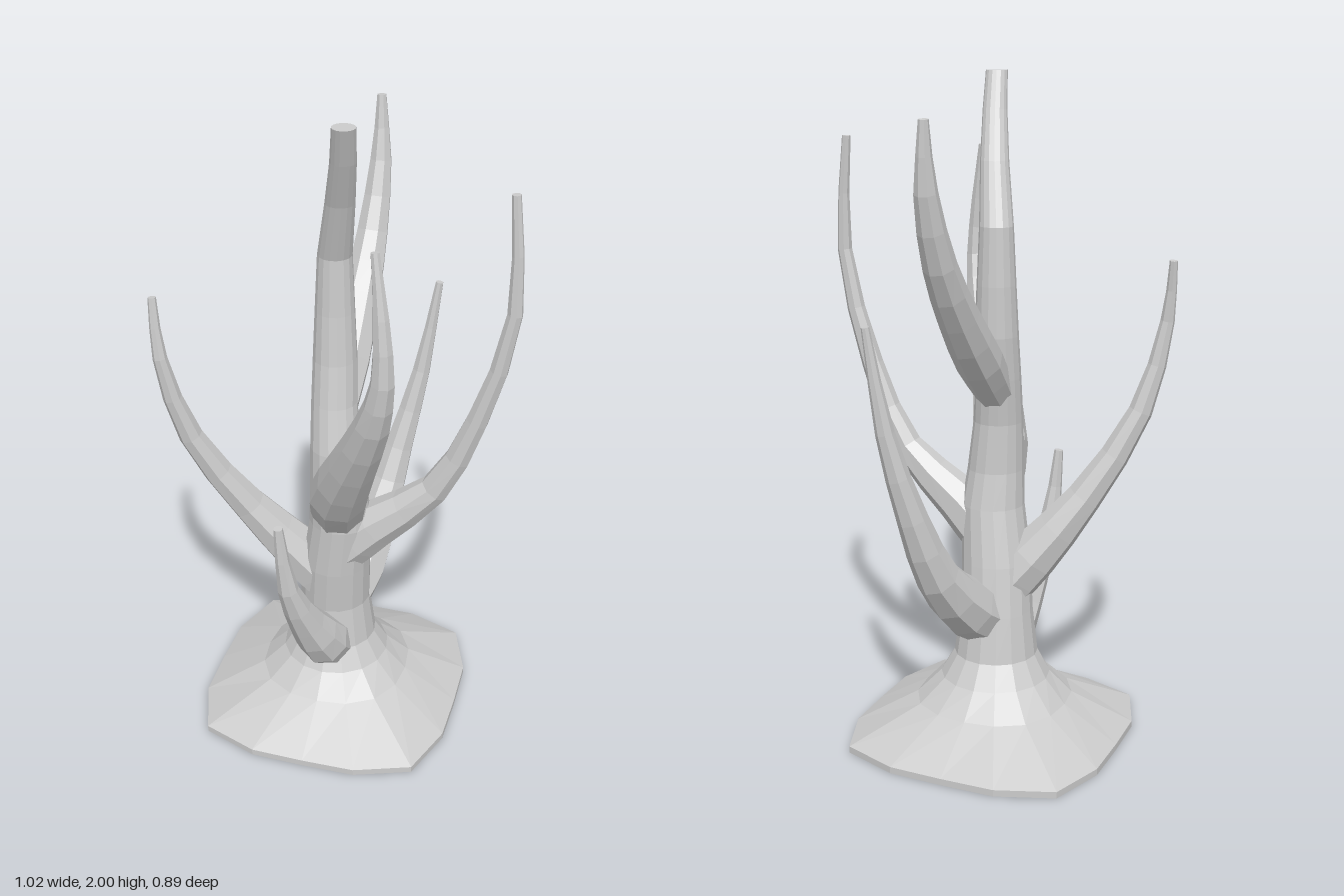
import * as THREE from 'three';

const material = new THREE.MeshStandardMaterial({ color: 0xcccccc, flatShading: true });

// Skin a list of equal-sized rings (counter-clockwise seen from the far end) and cap both ends.
function loft(rings, name) {
  const sides = rings[0].length;
  const positions = [];
  const tri = (a, b, c) => positions.push(...a.toArray(), ...b.toArray(), ...c.toArray());
  const middle = (ring) =>
    ring.reduce((sum, p) => sum.add(p), new THREE.Vector3()).divideScalar(sides);
  const first = rings[0], last = rings[rings.length - 1];
  const start = middle(first), end = middle(last);
  for (let j = 0; j < sides; j++) {
    const k = (j + 1) % sides;
    for (let i = 0; i < rings.length - 1; i++) {
      const low = rings[i], high = rings[i + 1];
      tri(low[j], low[k], high[k]);
      tri(low[j], high[k], high[j]);
    }
    tri(start, first[k], first[j]);
    tri(end, last[j], last[k]);
  }
  const geometry = new THREE.BufferGeometry();
  geometry.setAttribute('position', new THREE.Float32BufferAttribute(positions, 3));
  geometry.computeVertexNormals();
  const mesh = new THREE.Mesh(geometry, material);
  mesh.name = name;
  return mesh;
}

// Level ring; power 2 is a circle, higher powers approach a rounded square.
function levelRing(x, y, z, radius, power) {
  return Array.from({ length: 16 }, (_, j) => {
    const a = (j / 16) * Math.PI * 2;
    const c = Math.cos(a), s = Math.sin(a);
    const r = radius / (Math.abs(c) ** power + Math.abs(s) ** power) ** (1 / power);
    return new THREE.Vector3(x + r * c, y, z - r * s);
  });
}

// Tapering branch swept along a curve through [x, y, z, radius] stations.
function branch(name, stations, sides = 8) {
  const path = new THREE.CatmullRomCurve3(stations.map(([x, y, z]) => new THREE.Vector3(x, y, z)));
  const radii = new THREE.SplineCurve(stations.map((s, i) => new THREE.Vector2(i, s[3])));
  const steps = (stations.length - 1) * 2;
  const normal = new THREE.Vector3(1, 0, 0.3);
  const rings = [];
  for (let i = 0; i <= steps; i++) {
    const t = i / steps;
    const center = path.getPoint(t), tangent = path.getTangent(t);
    const radius = radii.getPoint(t).y;
    normal.addScaledVector(tangent, -normal.dot(tangent)).normalize();
    const binormal = new THREE.Vector3().crossVectors(tangent, normal);
    rings.push(Array.from({ length: sides }, (_, j) => {
      const a = (j / sides) * Math.PI * 2;
      return center.clone()
        .addScaledVector(normal, radius * Math.cos(a))
        .addScaledVector(binormal, radius * Math.sin(a));
    }));
  }
  return loft(rings, name);
}

export function createModel() {
  const group = new THREE.Group();
  group.name = 'branchStand';

  // Squared foot flowing up into the leaning trunk: x, y, z, radius, power
  const trunk = [
    [-0.03, 0, -0.01, 0.4, 3.9],
    [-0.03, 0.02, -0.01, 0.4, 3.9],
    [-0.03, 0.12, -0.01, 0.232, 2.4],
    [-0.03, 0.19, -0.005, 0.168, 2],
    [-0.03, 0.26, 0, 0.128, 2],
    [-0.03, 0.4, 0.005, 0.11, 2],
    [-0.02, 0.55, 0.025, 0.106, 2],
    [0, 0.72, 0.045, 0.096, 2],
    [-0.005, 0.83, 0.055, 0.086, 2],
    [-0.015, 0.98, 0.05, 0.075, 2],
    [-0.025, 1.12, 0.025, 0.068, 2],
    [-0.028, 1.25, 0.005, 0.065, 2],
    [-0.03, 1.4, -0.002, 0.058, 2],
    [-0.03, 1.57, -0.003, 0.05, 2],
    [0.003, 1.75, 0.06, 0.042, 2],
    [0.03, 1.89, 0.125, 0.036, 2],
    [0.045, 2, 0.173, 0.032, 2],
  ];
  group.add(loft(trunk.map((r) => levelRing(...r)), 'trunkAndFoot'));

  // Upswept branches: x, y, z, radius
  group.add(
    branch('upperBackBranch', [
      [-0.02, 1.08, 0.01, 0.06], [-0.02, 1.19, -0.1, 0.07], [-0.015, 1.34, -0.23, 0.06],
      [-0.01, 1.5, -0.34, 0.048], [-0.005, 1.7, -0.41, 0.033], [-0.01, 1.89, -0.43, 0.014],
    ]),
    branch('leftBranch', [
      [0, 0.61, 0.04, 0.085], [0.11, 0.715, 0.04, 0.074], [0.285, 0.87, 0.035, 0.046],
      [0.4, 1.12, 0.035, 0.033], [0.487, 1.47, 0.033, 0.022], [0.468, 1.81, 0.025, 0.013],
    ]),
    branch('frontBranch', [
      [0, 0.76, 0.07, 0.08], [0.025, 0.88, 0.16, 0.088], [0.1, 1.07, 0.28, 0.07],
      [0.18, 1.27, 0.375, 0.05], [0.215, 1.42, 0.41, 0.033], [0.207, 1.6, 0.405, 0.022],
      [0.185, 1.77, 0.387, 0.012],
    ]),
    branch('rightBranch', [
      [-0.04, 0.46, 0.02, 0.085], [-0.13, 0.565, 0.045, 0.08], [-0.275, 0.755, 0.1, 0.054],
      [-0.42, 1.02, 0.175, 0.036], [-0.482, 1.29, 0.215, 0.021], [-0.499, 1.47, 0.2, 0.012],
    ]),
    branch('lowerFrontBranch', [
      [-0.03, 0.25, 0.07, 0.075], [-0.03, 0.31, 0.14, 0.08], [-0.06, 0.43, 0.215, 0.057],
      [-0.095, 0.6, 0.285, 0.032], [-0.115, 0.83, 0.303, 0.014],
    ]),
    branch('lowerBackBranch', [
      [-0.01, 0.37, -0.01, 0.085], [0.015, 0.43, -0.11, 0.09], [0.05, 0.57, -0.245, 0.066],
      [0.09, 0.77, -0.325, 0.046], [0.145, 1.03, -0.378, 0.028], [0.188, 1.33, -0.4, 0.012],
    ]),
  );
  return group;
}
